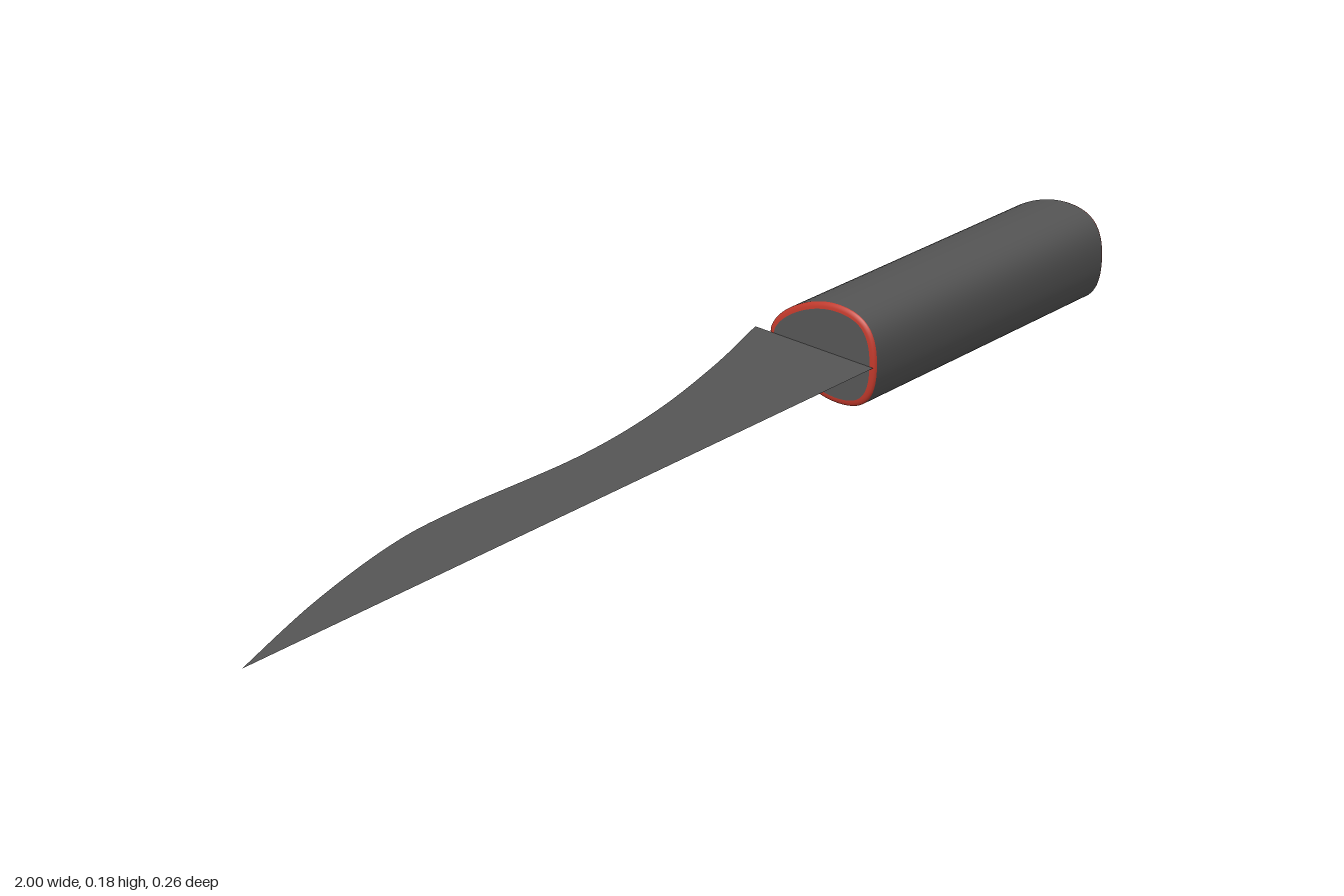
import * as THREE from 'three';

const START = 0.37, END = 1, MID = 0.088, BEVEL_DEPTH = 0.006, BEVEL_INSET = 0.011;

// Egg-shaped handle section: x is toward the back, y is up
function eggPoints() {
  const s = new THREE.Shape();
  s.moveTo(-0.128, MID);
  s.bezierCurveTo(-0.128, 0.026, -0.103, 0, -0.045, 0);
  s.bezierCurveTo(0.02, 0, 0.1, 0.051, 0.1, MID);
  s.bezierCurveTo(0.1, 0.125, 0.02, 0.176, -0.045, 0.176);
  s.bezierCurveTo(-0.103, 0.176, -0.128, 0.15, -0.128, MID);
  return s.getPoints(20).slice(0, -1);
}

// Moves a closed section inward along its normals
function inset(points, d) {
  const n = points.length;
  return points.map((p, i) => {
    const t = points[(i + 1) % n].clone().sub(points[(i + n - 1) % n]).normalize();
    return new THREE.Vector2(p.x - t.y * d, p.y + t.x * d);
  });
}

// Skins a row of [position along the handle, inset] sections
function loft(points, rings) {
  const pos = [], index = [], n = points.length;
  rings.forEach(([w, d], r) => {
    inset(points, d).forEach((p, i) => {
      pos.push(p.x, p.y, w);
      if (r === rings.length - 1) return;
      const a = r * n + i, b = r * n + (i + 1) % n;
      index.push(a, b, b + n, a, b + n, a + n);
    });
  });
  const g = new THREE.BufferGeometry();
  g.setAttribute('position', new THREE.Float32BufferAttribute(pos, 3));
  g.setIndex(index);
  g.computeVertexNormals();
  return g.rotateY(Math.PI / 2);
}

export function createModel() {
  const group = new THREE.Group();
  const dark = new THREE.MeshStandardMaterial({ color: 0x555555 });
  const red = new THREE.MeshStandardMaterial({ color: 0xc0392b });
  const sheet = new THREE.MeshStandardMaterial({ color: 0x555555, side: THREE.DoubleSide });
  const add = (name, geometry, material) => {
    const mesh = new THREE.Mesh(geometry, material);
    mesh.name = name;
    group.add(mesh);
  };

  // Handle grip
  const egg = eggPoints();
  add('handleGrip', loft(egg, [[START + BEVEL_DEPTH, 0], [END - BEVEL_DEPTH, 0]]), dark);

  // Rounded red rims and flat end caps
  const arc = [0, 1, 2, 3, 4].map(i => {
    const a = i / 4 * Math.PI / 2;
    return [BEVEL_DEPTH * (1 - Math.sin(a)), BEVEL_INSET * (1 - Math.cos(a))];
  });
  add('endRim', loft(egg, arc.map(([w, d]) => [END - w, d])), red);
  add('bladeRim', loft(egg, arc.map(([w, d]) => [START + w, d]).reverse()), red);
  const capShape = new THREE.Shape(inset(egg, BEVEL_INSET));
  add('endCap', new THREE.ShapeGeometry(capShape).rotateY(Math.PI / 2).translate(END, 0, 0), dark);
  add('bladeCap', new THREE.ShapeGeometry(capShape).rotateY(Math.PI / 2).translate(START, 0, 0), sheet);

  // Thin flat blade with a straight front edge and a wavy back edge
  const blade = new THREE.Shape();
  blade.moveTo(START, 0.13);
  blade.splineThru([[0.2, 0.073], [0, 0.023], [-0.2, 0], [-0.45, 0.007], [-0.6, -0.004],
    [-0.8, -0.054], [-1, -0.125]].map(([x, y]) => new THREE.Vector2(x, y)));
  blade.lineTo(START, -0.125);
  add('blade', new THREE.ShapeGeometry(blade, 8).rotateX(-Math.PI / 2).translate(0, MID, 0), sheet);

  return group;
}
